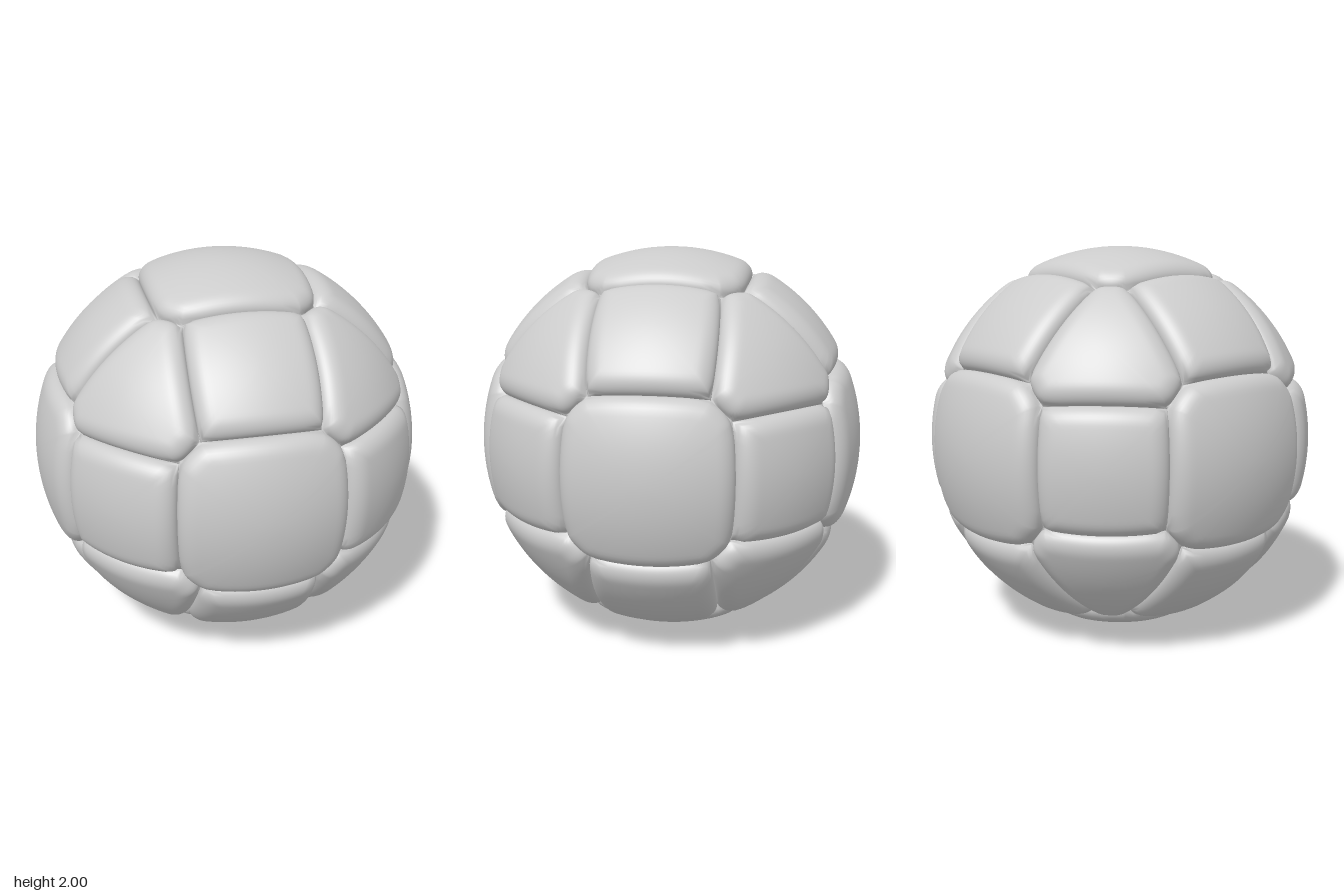
import * as THREE from 'three';

const GROOVE_RADIUS = 0.93; // bottom of the seams
const PUFF = 0.07;          // height of a cushion above the seams
const ROUND = 0.1;          // width of the rounded border
const RINGS = 20, STEPS = 12;

// Seam corners: every order and sign of three coordinates
function seamCorners() {
  const [a, b, c] = [0.31, 0.417, 0.855];
  const orders = [[a, b, c], [a, c, b], [b, a, c], [b, c, a], [c, a, b], [c, b, a]];
  const corners = [];
  for (const [x, y, z] of orders)
    for (const sx of [1, -1]) for (const sy of [1, -1]) for (const sz of [1, -1])
      corners.push(new THREE.Vector3(x * sx, y * sy, z * sz).normalize());
  return corners;
}

// One padded panel: rings from its centre out to the seam, domed on the sphere
function panelGeometry(center, corners) {
  const nearest = Math.max(...corners.map(v => v.dot(center)));
  const helper = Math.abs(center.y) > 0.9 ? new THREE.Vector3(1, 0, 0) : new THREE.Vector3(0, 1, 0);
  const e1 = helper.cross(center).normalize();
  const e2 = center.clone().cross(e1);
  const angle = v => Math.atan2(v.dot(e2), v.dot(e1));
  const outline = corners.filter(v => v.dot(center) > nearest - 1e-4).sort((p, q) => angle(p) - angle(q));
  const next = i => outline[(i + 1) % outline.length];
  const walls = outline.map((v, i) => v.clone().cross(next(i)).normalize());

  const border = [];
  outline.forEach((v, i) => {
    for (let k = 0; k < STEPS; k++) border.push(v.clone().lerp(next(i), k / STEPS).normalize());
  });

  const radius = dir => {
    let sum = 0;
    for (const n of walls) sum += Math.max(0, 1 - dir.dot(n) / ROUND) ** 5;
    const u = Math.min(1, sum ** 0.2);
    return GROOVE_RADIUS + PUFF * Math.sqrt(Math.max(0, 1 - u * u));
  };

  const n = border.length, positions = [], index = [];
  const add = dir => positions.push(...dir.clone().multiplyScalar(radius(dir)).toArray());
  add(center);
  for (let r = 1; r <= RINGS; r++) {
    const s = 1 - (1 - r / RINGS) ** 2; // rings crowd towards the seam
    for (const p of border) add(center.clone().lerp(p, s).normalize());
  }
  for (let i = 0; i < n; i++) {
    const j = (i + 1) % n;
    index.push(0, 1 + i, 1 + j);
    for (let r = 0; r < RINGS - 1; r++) {
      const p = 1 + r * n, q = p + n;
      index.push(p + i, q + i, q + j, p + i, q + j, p + j);
    }
  }
  const geometry = new THREE.BufferGeometry();
  geometry.setAttribute('position', new THREE.Float32BufferAttribute(positions, 3));
  geometry.setIndex(index);
  geometry.computeVertexNormals();
  return geometry;
}

export function createModel() {
  const grey = new THREE.MeshStandardMaterial({ color: 0xcccccc });
  grey.name = 'light grey';
  const ball = new THREE.Group();
  ball.name = 'paddedBall';
  const corners = seamCorners();
  // 6 large panels on the axes, 12 square ones between them, 8 triangular ones
  const names = ['', 'largePanel', 'squarePanel', 'trianglePanel'];
  for (const x of [-1, 0, 1]) for (const y of [-1, 0, 1]) for (const z of [-1, 0, 1]) {
    const kind = Math.abs(x) + Math.abs(y) + Math.abs(z);
    if (kind === 0) continue;
    const panel = new THREE.Mesh(panelGeometry(new THREE.Vector3(x, y, z).normalize(), corners), grey);
    panel.name = names[kind];
    panel.position.y = 1;
    ball.add(panel);
  }
  return ball;
}
